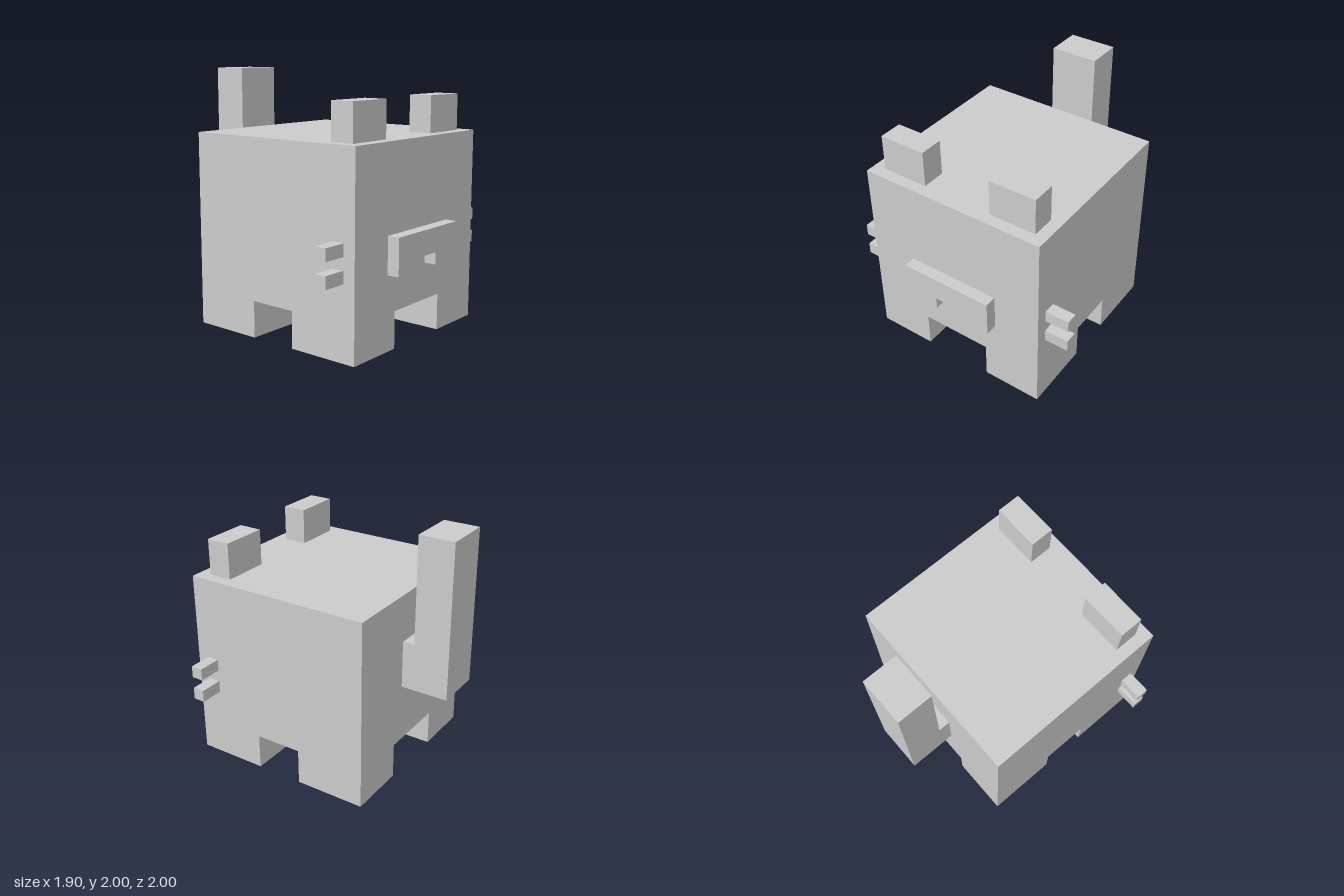
import * as THREE from 'three';

const U = 2 / 21; // one block unit; the model is 21 units tall
const material = new THREE.MeshStandardMaterial({ color: 0xcccccc, flatShading: true });

// Box given by its min and max corners in block units
function block(name, [x0, y0, z0], [x1, y1, z1]) {
  const geometry = new THREE.BoxGeometry((x1 - x0) * U, (y1 - y0) * U, (z1 - z0) * U);
  geometry.translate((x0 + x1) / 2 * U, (y0 + y1) / 2 * U, (z0 + z1) / 2 * U);
  const mesh = new THREE.Mesh(geometry, material);
  mesh.name = name;
  return mesh;
}

// Outline in block units, extruded along +z
function slab(name, points, depth) {
  const shape = new THREE.Shape(points.map(([x, y]) => new THREE.Vector2(x * U, y * U)));
  const geometry = new THREE.ExtrudeGeometry(shape, { depth: depth * U, bevelEnabled: false });
  const mesh = new THREE.Mesh(geometry, material);
  mesh.name = name;
  return mesh;
}

export function createModel() {
  const model = new THREE.Group();
  model.name = 'blockAnimal';

  // Body
  model.add(block('body', [-8, 3, -6.5], [8, 16, 9.5]));

  // Mirrored parts: legs, ears and whiskers
  for (const [side, s] of [['left', 1], ['right', -1]]) {
    const pair = (name, x0, x1, y0, y1, z0, z1) => model.add(block(
      side + name, [Math.min(s * x0, s * x1), y0, z0], [Math.max(s * x0, s * x1), y1, z1]));
    pair('FrontLeg', 3, 8, 0, 3, 3.5, 9.5);
    pair('BackLeg', 3, 8, 0, 3, -6.5, -0.5);
    pair('Ear', 3, 7, 16, 19, 6.5, 8.5);
    pair('LowerWhisker', 8, 10, 6, 7, 7.5, 8.5);
    pair('UpperWhisker', 8, 10, 8, 9, 7.5, 8.5);
  }

  // Snout with the mouth notch
  const snout = slab('snout', [[-4, 6], [-1, 6], [-1, 7], [1, 7], [1, 6], [4, 6], [4, 9], [-4, 9]], 1);
  snout.position.z = 9.5 * U;
  model.add(snout);

  // Upright tail: side profile turned so its x axis points backwards
  const tail = slab('tail', [[6.5, 8], [10.5, 8], [10.5, 21], [7.5, 21], [7.5, 12], [6.5, 12]], 4);
  tail.rotation.y = Math.PI / 2;
  tail.position.x = -2 * U;
  model.add(tail);

  return model;
}
